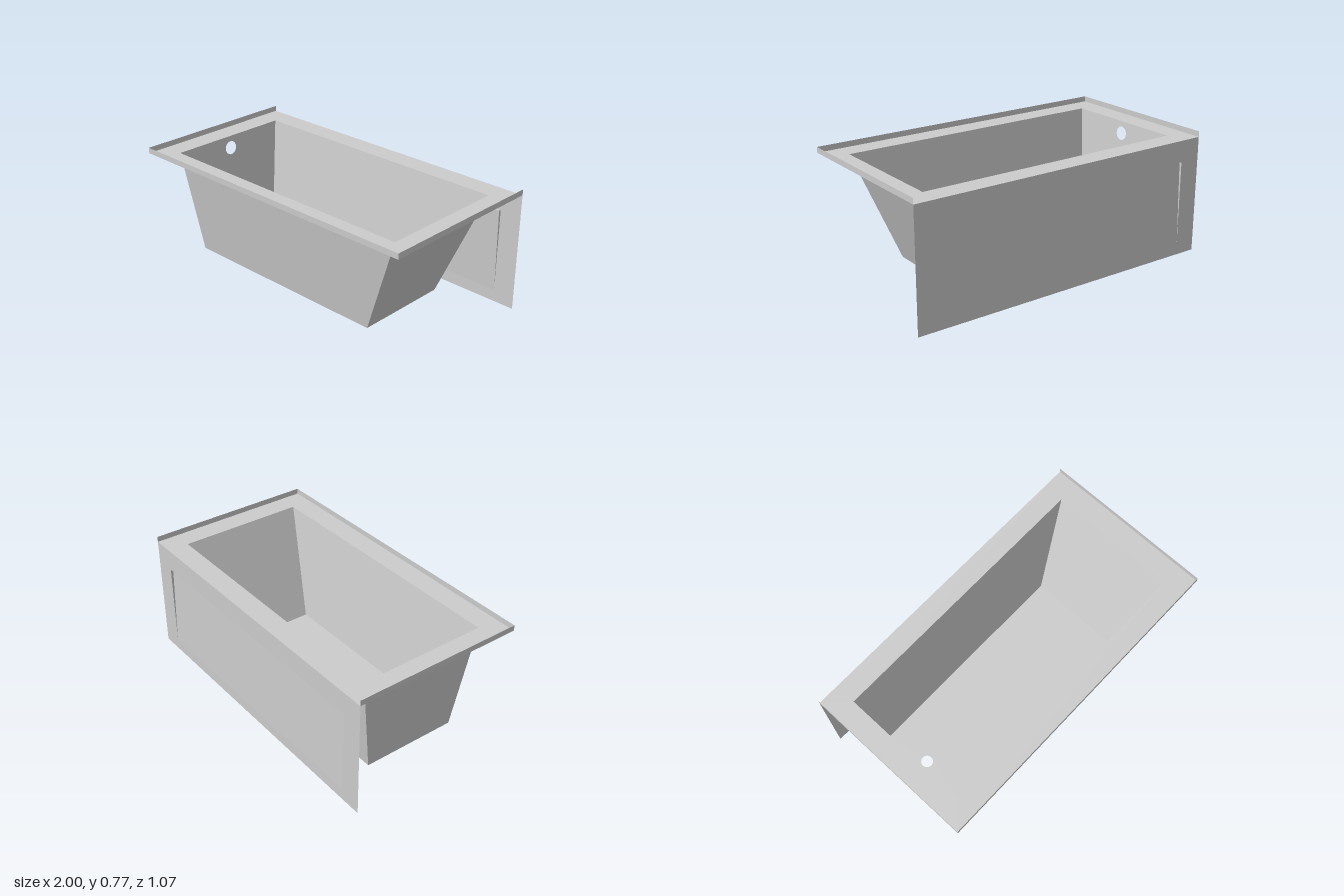
import * as THREE from 'three';

const material = new THREE.MeshStandardMaterial({ color: 0xcccccc, side: THREE.DoubleSide, flatShading: true });
const V = (x, y, z) => new THREE.Vector3(x, y, z);

// Flat sheet through coplanar corners (counter-clockwise from its front),
// with optional polygon and round holes.
function panel(name, corners, { cutout, hole } = {}) {
  const origin = corners[0];
  const u = corners[1].clone().sub(origin).normalize();
  const n = u.clone().cross(corners[2].clone().sub(origin)).normalize();
  const v = n.clone().cross(u);
  const flat = (p) => {
    const d = p.clone().sub(origin);
    return new THREE.Vector2(d.dot(u), d.dot(v));
  };
  const shape = new THREE.Shape(corners.map(flat));
  if (cutout) shape.holes.push(new THREE.Path(cutout.map(flat)));
  if (hole) {
    const c = flat(hole.center);
    shape.holes.push(new THREE.Path().absarc(c.x, c.y, hole.radius, 0, Math.PI * 2, true));
  }
  const geometry = new THREE.ShapeGeometry(shape, 24);
  geometry.applyMatrix4(new THREE.Matrix4().makeBasis(u, v, n).setPosition(origin));
  const mesh = new THREE.Mesh(geometry, material);
  mesh.name = name;
  return mesh;
}

// Horizontal rectangle, counter-clockwise seen from above
const rect = (x0, x1, z, y) => [V(x0, y, z), V(x1, y, z), V(x1, y, -z), V(x0, y, -z)];

export function createModel() {
  const model = new THREE.Group();
  model.name = 'bathtub';
  const rimY = 0.735, lipY = 0.77, floorY = 0.067, halfZ = 0.533;

  const outer = rect(-1, 1, halfZ, rimY);
  const mouth = rect(-0.865, 0.865, 0.4, rimY);
  const floor = rect(-0.8, 0.6, 0.3, floorY);
  const lipTop = rect(-1, 1, halfZ, lipY);

  // Rim and basin floor with drain
  model.add(panel('rim', outer, { cutout: mouth }));
  model.add(panel('floor', floor, { hole: { center: V(-0.745, floorY, -0.02), radius: 0.036 } }));

  // Sloping basin walls; the right end carries the overflow hole
  const overflow = { center: V(-0.8575, 0.658, 0), radius: 0.043 };
  ['frontWall', 'leftEndWall', 'backWall', 'rightEndWall'].forEach((name, i) => {
    const j = (i + 1) % 4;
    model.add(panel(name, [floor[i], floor[j], mouth[j], mouth[i]], i === 3 ? { hole: overflow } : {}));
  });

  // Upstanding lip on three sides, open along the apron
  [['frontLip', 0], ['leftLip', 1], ['rightLip', 3]].forEach(([name, i]) => {
    const j = (i + 1) % 4;
    model.add(panel(name, [outer[i], outer[j], lipTop[j], lipTop[i]]));
  });

  // Apron along the back with a tapering recessed panel
  const apron = new THREE.Group();
  apron.name = 'apron';
  const px = 0.865, top = 0.6, bottom = 0.075, inZ = -halfZ + 0.016;
  const opening = [V(px, bottom, -halfZ), V(-px, bottom, -halfZ), V(-px, top, -halfZ), V(px, top, -halfZ)];
  const inner = [V(-px, top, inZ), V(px, top, inZ)];
  apron.add(panel('apronFrame',
    [V(1, 0, -halfZ), V(-1, 0, -halfZ), V(-1, rimY, -halfZ), V(1, rimY, -halfZ)], { cutout: opening }));
  apron.add(panel('recessedPanel', [opening[0], opening[1], ...inner]));
  apron.add(panel('recessLedge', [opening[3], inner[1], inner[0], opening[2]]));
  apron.add(panel('recessLeftSide', [opening[0], inner[1], opening[3]]));
  apron.add(panel('recessRightSide', [opening[1], opening[2], inner[0]]));
  model.add(apron);

  return model;
}
